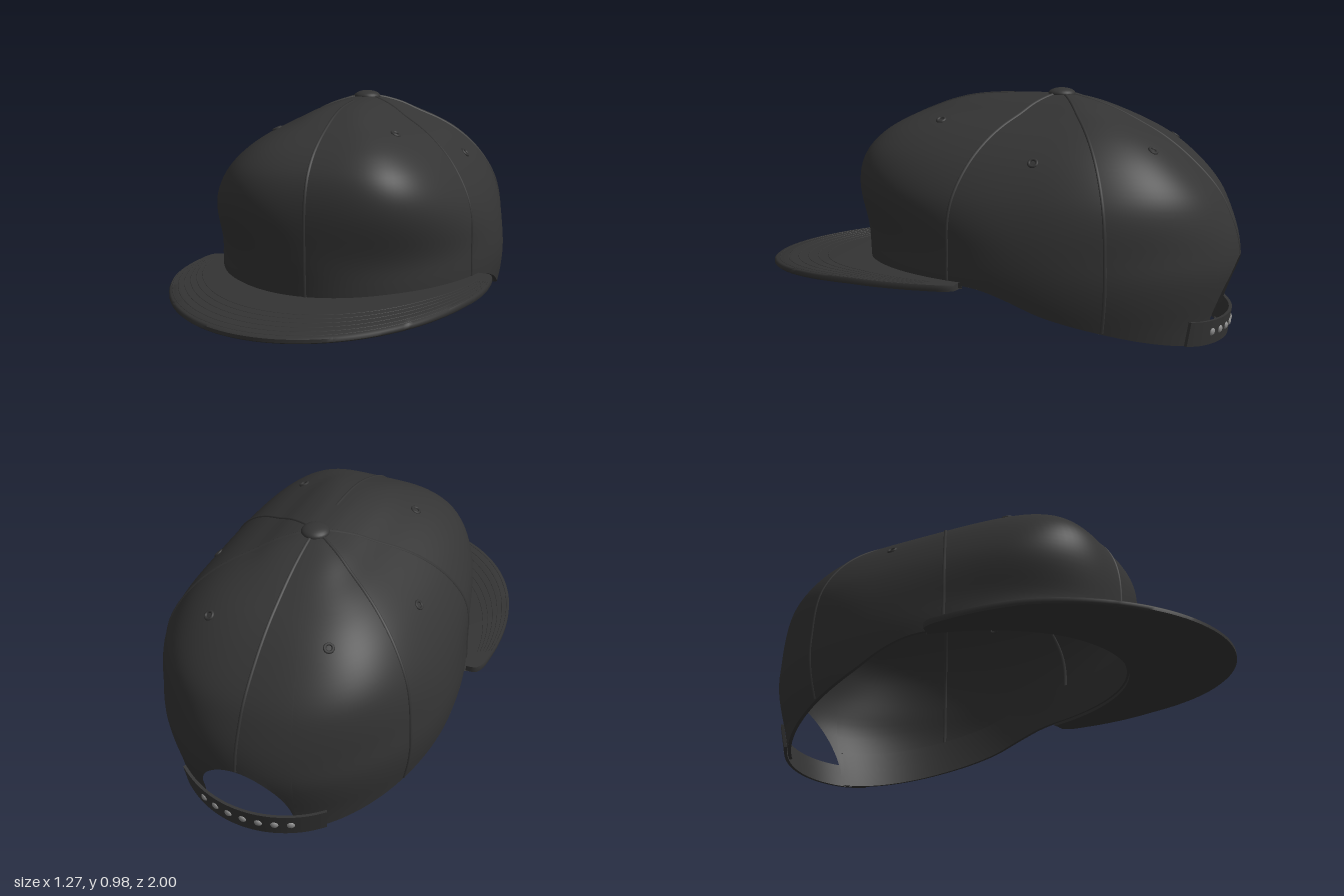
import * as THREE from 'three';
import { toCreasedNormals } from 'three/addons/utils/BufferGeometryUtils.js';

const fabric = new THREE.MeshStandardMaterial({ color: 0x343434, side: THREE.DoubleSide });
fabric.name = 'charcoal fabric';
const metal = new THREE.MeshStandardMaterial({ color: 0x8c8c8c });
metal.name = 'grey snap';

const V = (x, y, z) => new THREE.Vector3(x, y, z);
const TOP = 0.957, CZ = -0.26, ARCH = 0.297;

// Smooth lookup through [input, output] pairs
function curve(p) {
  const slope = (i) => {
    const a = p[Math.max(i - 1, 0)], b = p[Math.min(i + 1, p.length - 1)];
    return (b[1] - a[1]) / (b[0] - a[0]);
  };
  return (x) => {
    x = THREE.MathUtils.clamp(x, p[0][0], p[p.length - 1][0]);
    let i = 0;
    while (i < p.length - 2 && x > p[i + 1][0]) i++;
    const h = p[i + 1][0] - p[i][0], t = (x - p[i][0]) / h, t2 = t * t, t3 = t2 * t;
    return p[i][1] * (2 * t3 - 3 * t2 + 1) + slope(i) * h * (t3 - 2 * t2 + t)
      + p[i + 1][1] * (3 * t2 - 2 * t3) + slope(i + 1) * h * (t3 - t2);
  };
}

// Crown radius toward front, side and back; input is sqrt of the relative depth below the top
const front = curve([[0, 0], [0.05, 0.2], [0.112, 0.34], [0.183, 0.44], [0.265, 0.54], [0.334, 0.63],
  [0.405, 0.71], [0.498, 0.78], [0.611, 0.815], [0.763, 0.817], [0.829, 0.812], [1, 0.8]]);
const side = curve([[0, 0], [0.05, 0.045], [0.112, 0.085], [0.183, 0.14], [0.265, 0.205], [0.334, 0.285],
  [0.405, 0.36], [0.498, 0.443], [0.611, 0.522], [0.691, 0.56], [0.763, 0.58], [0.829, 0.587],
  [0.889, 0.578], [0.946, 0.555], [1, 0.53]]);
const back = curve([[0, 0], [0.05, 0.045], [0.112, 0.09], [0.183, 0.16], [0.265, 0.25], [0.334, 0.33],
  [0.405, 0.42], [0.498, 0.525], [0.611, 0.64], [0.691, 0.695], [0.763, 0.73], [0.829, 0.739],
  [0.889, 0.72], [0.946, 0.695], [1, 0.68]]);
// Height of the lower edge along z
const edge = curve([[-1, 0], [-0.95, 0.002], [-0.88, 0.012], [-0.55, 0.1], [-0.33, 0.165],
  [-0.2, 0.22], [-0.1, 0.252], [0, 0.262], [0.6, 0.262]]);

const depth = (y) => Math.sqrt(Math.max(0, (TOP - y) / TOP));

// Point on the crown at a heading (0 = front) and height, pushed outward by off
function crownPoint(a, y, off = 0) {
  const s = depth(y), sx = Math.sin(a), cz = Math.cos(a);
  const boxy = THREE.MathUtils.smoothstep(y, 0.35, 0.85);
  const p = 2 + boxy * (cz > 0 ? 2.2 : 1.2);
  const rx = Math.max(side(s), 1e-4), rz = Math.max(cz > 0 ? front(s) : back(s), 1e-4);
  const r = Math.pow(Math.pow(Math.abs(sx) / rx, p) + Math.pow(Math.abs(cz) / rz, p), -1 / p) + off;
  return V(r * sx, y, CZ + r * cz);
}
const lowerEdge = (a) => Math.max(0, edge(crownPoint(a, 0.12).z));
function openEdge(a) {
  const t = (a - Math.PI) / ARCH;
  return Math.abs(t) < 1 ? Math.max(lowerEdge(a), 0.02 + 0.31 * Math.sqrt(1 - t * t)) : lowerEdge(a);
}
function crownNormal(a, y) {
  const e = 0.01, p = crownPoint(a, y);
  const n = crownPoint(a + e, y).sub(p).cross(crownPoint(a, y + e).sub(p)).normalize();
  const out = V(Math.sin(a), 0.3, Math.cos(a));
  return n.dot(out) < 0 ? n.negate() : n;
}

// Skin over columns of points
function skin(cols, closeAround, closeSection) {
  const n = cols.length, m = cols[0].length, idx = [];
  for (let i = 0; i < (closeAround ? n : n - 1); i++) {
    for (let j = 0; j < (closeSection ? m : m - 1); j++) {
      const i2 = (i + 1) % n, j2 = (j + 1) % m;
      const a = i * m + j, b = i2 * m + j, c = i2 * m + j2, d = i * m + j2;
      idx.push(a, b, c, a, c, d);
    }
  }
  const g = new THREE.BufferGeometry().setFromPoints(cols.flat());
  g.setIndex(idx);
  g.computeVertexNormals();
  return g;
}
const range = (n, f) => Array.from({ length: n + 1 }, (_, i) => f(i / n));
const tube = (pts, r, n) => new THREE.TubeGeometry(new THREE.CatmullRomCurve3(pts), n, r, 6);

export function createModel() {
  const cap = new THREE.Group();
  cap.name = 'cap';
  const add = (name, geo, mat = fabric, parent = cap) => {
    const m = new THREE.Mesh(geo, mat);
    m.name = name;
    parent.add(m);
    return m;
  };
  const group = (name) => {
    const g = new THREE.Group();
    g.name = name;
    cap.add(g);
    return g;
  };

  // Crown with the arched opening at the back
  const headings = range(32, (t) => Math.PI - ARCH * Math.cos(Math.PI * t));
  headings.push(...range(160, (t) => Math.PI + ARCH + t * 2 * (Math.PI - ARCH)).slice(1, -1));
  add('crown', skin(headings.map((a) => {
    const end = depth(openEdge(a));
    return range(44, (t) => crownPoint(a, TOP * (1 - (t * end) ** 2)));
  }), true, false));

  // Raised seams between the six panels
  const seams = group('seams');
  for (let k = 0; k < 6; k++) {
    const a = k * Math.PI / 3, end = depth(openEdge(a) + 0.005);
    add('seam', tube(range(26, (t) => {
      const y = TOP * (1 - (0.05 + t * (end - 0.05)) ** 2);
      return crownPoint(a, y).addScaledVector(crownNormal(a, y), -0.003);
    }), 0.008, 60), fabric, seams);
  }

  // Stitched eyelets, one per panel
  const eyelets = group('eyelets');
  for (const [deg, y] of [[30, 0.86], [90, 0.73], [150, 0.77]]) {
    for (const s of [1, -1]) {
      const a = s * deg * Math.PI / 180;
      const ring = add('eyelet', new THREE.TorusGeometry(0.016, 0.006, 8, 20), fabric, eyelets);
      ring.position.copy(crownPoint(a, y));
      ring.quaternion.setFromUnitVectors(V(0, 0, 1), crownNormal(a, y));
    }
  }

  // Top button
  const button = add('topButton', new THREE.SphereGeometry(0.056, 28, 16));
  button.scale.y = 0.45;
  button.position.set(0, 0.955, CZ);

  // Sweatband folded up inside the lower edge
  const bandCols = range(120, (t) => {
    const a = Math.PI + ARCH + 0.01 + t * 2 * (Math.PI - ARCH - 0.01), y = lowerEdge(a);
    return [crownPoint(a, y), crownPoint(a, y, -0.014), crownPoint(a, y + 0.08, -0.014),
      crownPoint(a, y + 0.16, -0.014), crownPoint(a, y + 0.16, -0.002)];
  });
  add('sweatband', toCreasedNormals(skin(bandCols, false, false), 0.7));

  // Brim: strips from the crown to the outline, sloping down at the front
  const half = [V(0.56, 0, 0), V(0.6, 0, 0), V(0.622, 0, 0.035), V(0.632, 0, 0.12)];
  for (let k = 0; k < 10; k++) {
    const f = Math.PI / 2 * (1 - k / 10);
    half.push(V(0.635 * Math.sin(f), 0, 0.2 + 0.795 * Math.cos(f)));
  }
  const outline = new THREE.CatmullRomCurve3([...half, V(0, 0, 0.995),
    ...half.slice().reverse().map((p) => V(-p.x, 0, p.z))]).getSpacedPoints(120);
  const brimPoint = (i, f, drop) => {
    const a = (1 - i / 60) * 66 * Math.PI / 180;
    const p = crownPoint(a, 0.265, -0.005).lerp(outline[i], f);
    const t = Math.max(0, (p.z - 0.42) / 0.575);
    p.y = 0.275 - 0.036 * Math.pow(t, 1.25) - drop;
    return p;
  };
  const fr = [0, 0.2, 0.4, 0.6, 0.8, 0.975];
  add('brim', toCreasedNormals(skin(outline.map((_, i) => [
    ...fr.map((f) => brimPoint(i, f, 0)), brimPoint(i, 0.995, 0.006), brimPoint(i, 0.995, 0.019),
    ...fr.slice().reverse().map((f) => brimPoint(i, f, 0.025))]), false, true), 0.9));

  // Stitch rows on the brim
  const stitches = group('brimStitching');
  for (const f of [0.45, 0.55, 0.65, 0.75, 0.85, 0.94]) {
    add('stitchRow', tube(range(52, (t) => brimPoint(Math.round(8 + t * 104), f, 0.001)), 0.0022, 104), fabric, stitches);
  }

  // Adjustable strap across the opening, with snaps
  const strapCols = range(40, (t) => {
    const a = Math.PI + (t * 2 - 1) * 0.48, y = lowerEdge(a);
    return [[0, 0.003], [0.1, 0.003], [0.1, 0.016], [0, 0.016]].map(([h, o]) => crownPoint(a, y + h, o));
  });
  const strap = skin(strapCols, false, true);
  strap.setIndex([...strap.index.array, 0, 1, 2, 0, 2, 3, 160, 162, 161, 160, 163, 162]);
  add('strap', toCreasedNormals(strap, 0.7));

  const snaps = group('snaps');
  for (let k = -3; k <= 3; k++) {
    const a = Math.PI + k * 0.092, y = lowerEdge(a) + 0.052;
    const snap = add('snap', new THREE.SphereGeometry(0.016, 16, 10), metal, snaps);
    snap.scale.z = 0.55;
    snap.position.copy(crownPoint(a, y, 0.016));
    snap.quaternion.setFromUnitVectors(V(0, 0, 1), crownNormal(a, y));
  }
  return cap;
}
